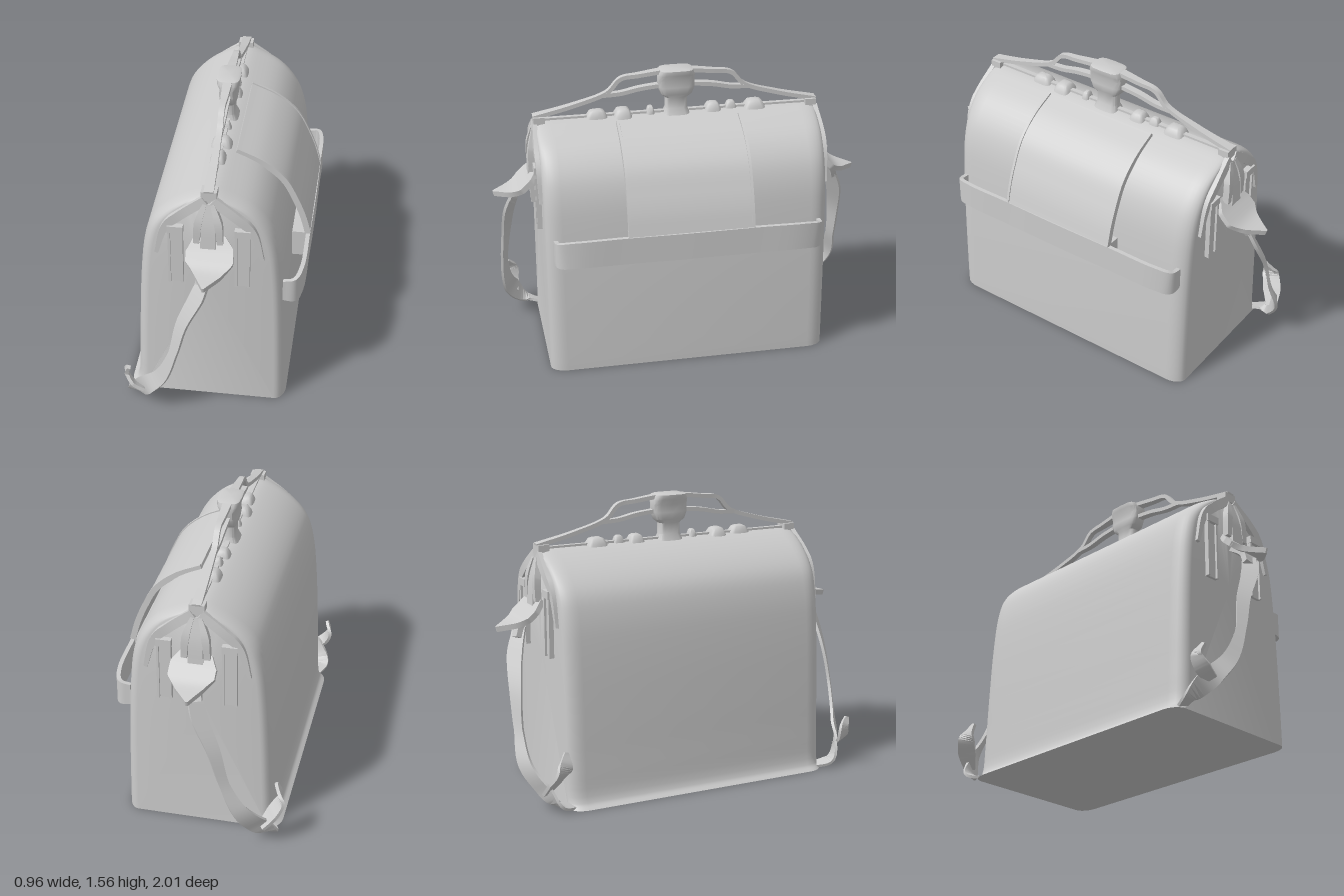
import * as THREE from 'three';
import { toCreasedNormals } from 'three/addons/utils/BufferGeometryUtils.js';

const material = new THREE.MeshStandardMaterial({ color: 0xcccccc, side: THREE.DoubleSide });
const V = (x, y, z) => new THREE.Vector3(x, y, z);

function add(parent, name, geometry, x = 0, y = 0, z = 0) {
  const mesh = new THREE.Mesh(geometry, material);
  mesh.name = name;
  mesh.position.set(x, y, z);
  parent.add(mesh);
  return mesh;
}

// Skin over closed rings of equal length, capped at both ends, faces outward
function loft(rings, crease = 0.7) {
  const n = rings[0].length, pos = rings.flat(), tris = [];
  rings.slice(1).forEach((_, i) => {
    for (let j = 0; j < n; j++) {
      const a = i * n + j, b = i * n + (j + 1) % n;
      tris.push([a, b, a + n], [b, b + n, a + n]);
    }
  });
  for (const [start, flip] of [[0, true], [(rings.length - 1) * n, false]]) {
    const c = pos.length, mid = V(0, 0, 0);
    for (let j = 0; j < n; j++) mid.addScaledVector(pos[start + j], 1 / n);
    pos.push(mid);
    for (let j = 0; j < n; j++) {
      const a = start + j, b = start + (j + 1) % n;
      tris.push(flip ? [b, a, c] : [a, b, c]);
    }
  }
  let volume = 0;
  for (const [a, b, c] of tris) volume += pos[a].dot(V(0, 0, 0).crossVectors(pos[b], pos[c]));
  if (volume < 0) tris.forEach(t => t.reverse());
  const geometry = new THREE.BufferGeometry().setFromPoints(pos);
  geometry.setIndex(tris.flat());
  return toCreasedNormals(geometry, crease);
}

// Flat strap along a path: across = width direction, widths spread along the path
function strap(points, across, widths, thick, steps = 28) {
  const curve = new THREE.CatmullRomCurve3(points.map(p => V(...p)));
  const rings = [];
  for (let i = 0; i <= steps; i++) {
    const t = i / steps, f = t * (widths.length - 1), k = Math.min(Math.floor(f), widths.length - 2);
    const half = THREE.MathUtils.lerp(widths[k], widths[k + 1], f - k) / 2;
    const p = curve.getPoint(t), tangent = curve.getTangent(t);
    const w = V(...across);
    w.addScaledVector(tangent, -w.dot(tangent)).normalize();
    const nrm = V(0, 0, 0).crossVectors(tangent, w);
    rings.push([[-1, -1], [1, -1], [1, 1], [-1, 1]].map(([u, v]) =>
      p.clone().addScaledVector(w, u * half).addScaledVector(nrm, v * thick / 2)));
  }
  return loft(rings);
}

export function createModel() {
  const bag = new THREE.Group();
  bag.name = 'bag';

  // Body: arched section with a flared hem, corners rounded toward the ends
  const section = [[-0.44, 0], [-0.41, 0.03], [-0.395, 0.2], [-0.385, 0.45], [-0.365, 0.8], [-0.34, 1],
    [-0.3, 1.12], [-0.22, 1.21], [-0.1, 1.285], [0, 1.315], [0.1, 1.285], [0.22, 1.22], [0.305, 1.12],
    [0.35, 1], [0.375, 0.8], [0.39, 0.5], [0.4, 0.05], [0.4, 0]];
  const arch = new THREE.CatmullRomCurve3(section.map(p => V(p[0], p[1], 0))).getPoints(68);
  const rings = [];
  for (const end of [-1, 1]) {
    for (let i = 0; i <= 6; i++) {
      const a = (end < 0 ? i : 6 - i) / 6 * Math.PI / 2;
      const z = end * (0.67 + 0.09 * Math.cos(a));
      const sx = 1 - 0.15 * (1 - Math.sin(a)), sy = 1 - 0.012 * (1 - Math.sin(a));
      rings.push(arch.map(p => V(p.x * sx, Math.max(0, p.y * sy), z)));
    }
  }
  add(bag, 'body', loft(rings, 0.6));

  // Flap hanging over the left side, its seams, and the loose band around it
  const drape = [[0.08, 1.3, 0], [0.22, 1.235, 0], [0.33, 1.14, 0], [0.395, 1.02, 0], [0.435, 0.92, 0], [0.465, 0.81, 0]];
  add(bag, 'sideFlap', strap(drape, [0, 0, 1], [0.64, 0.66], 0.02));
  for (const z of [-0.33, 0.33]) {
    add(bag, 'flapSeam', strap(drape, [0, 0, 1], [0.014, 0.014], 0.032), 0, 0, z);
  }
  const halfBand = [[0.37, 0.72, 0.71], [0.43, 0.72, 0.7], [0.458, 0.73, 0.62], [0.465, 0.735, 0.33]];
  const band = [...halfBand, [0.468, 0.735, 0],
    ...halfBand.map(([x, y, z]) => [x, y, -z]).reverse()];
  add(bag, 'sideBand', strap(band, [0, 1, 0], [0.12, 0.145, 0.15, 0.15, 0.15, 0.145, 0.12], 0.022, 48));
  add(bag, 'bandFilling', new THREE.BoxGeometry(0.08, 0.15, 0.66), 0.42, 0.735, 0);

  // Ridge seam and the central grip on its neck
  add(bag, 'ridgeSeam', new THREE.BoxGeometry(0.025, 0.03, 1.5), 0, 1.31, 0);
  const ovalRing = (y, rx, rz) => Array.from({ length: 16 }, (_, i) => {
    const c = Math.cos(i * Math.PI / 8), s = Math.sin(i * Math.PI / 8);
    const q = v => Math.sign(v) * Math.sqrt(Math.abs(v));
    return V(rx * q(c), y, rz * q(s));
  });
  const grip = [[1.29, 0.06, 0.08], [1.34, 0.035, 0.06], [1.4, 0.035, 0.06], [1.42, 0.045, 0.085],
    [1.46, 0.05, 0.1], [1.5, 0.045, 0.1], [1.53, 0.06, 0.1], [1.555, 0.062, 0.09], [1.56, 0.05, 0.075]];
  add(bag, 'grip', loft(grip.map(g => ovalRing(...g))));

  // Leather lumps along the ridge
  for (const [z, length, width] of [[-0.43, 0.13, 0.11], [-0.3, 0.07, 0.06], [-0.2, 0.1, 0.1],
    [0.14, 0.05, 0.07], [0.29, 0.11, 0.12], [0.43, 0.13, 0.09]]) {
    const lump = [[1.285, 1], [1.32, 0.85], [1.345, 0.6], [1.352, 0.35]];
    add(bag, 'ridgeLump', loft(lump.map(([y, s]) => ovalRing(y, width / 2 * s, length / 2 * s))), 0, 0, z);
  }

  for (const e of [1, -1]) {
    const end = new THREE.Group();
    end.name = e > 0 ? 'frontEnd' : 'backEnd';
    bag.add(end);
    const flipZ = pts => pts.map(([x, y, z]) => [x, y, z * e]);

    // Two carrying cords rising to the grip
    add(end, 'upperCord', strap(flipZ([[0, 1.335, 0.77], [0, 1.385, 0.55], [0, 1.445, 0.37], [0, 1.515, 0.3],
      [0, 1.53, 0.2], [0, 1.548, 0.06]]), [1, 0, 0], [0.05, 0.03, 0.03, 0.05], 0.022));
    add(end, 'lowerCord', strap(flipZ([[0, 1.43, 0.4], [0, 1.435, 0.3], [0, 1.455, 0.2], [0, 1.47, 0.06]]),
      [1, 0, 0], [0.03, 0.04], 0.022));
    add(end, 'cordAnchor', new THREE.BoxGeometry(0.08, 0.05, 0.06), 0, 1.315, 0.74 * e);

    // Raised gathers fanning from the peak
    for (const side of [-1, 1]) {
      add(end, 'gather', strap(flipZ([[side * 0.02, 1.29, 0.765], [side * 0.14, 1.2, 0.772],
        [side * 0.22, 1.12, 0.77], [side * 0.27, 0.95, 0.765]]), [1, 0, 0], [0.05, 0.05, 0.02], 0.025));
      add(end, 'pleat', strap(flipZ([[side * 0.02, 1.27, 0.765], [side * 0.05, 1.17, 0.79],
        [side * 0.06, 1.05, 0.79]]), [1, 0, 0], [0.02, 0.04, 0.03], 0.035));

      // Buckle strap framed by two raised edges
      const x = side * 0.17;
      add(end, 'buckleStrap', new THREE.BoxGeometry(0.07, 0.35, 0.02), x, 0.95, 0.765 * e);
      for (const dx of [-0.032, 0.032]) {
        add(end, 'strapEdge', new THREE.BoxGeometry(0.012, 0.35, 0.024), x + dx, 0.95, 0.775 * e);
      }
      add(end, 'strapTip', new THREE.BoxGeometry(0.08, 0.04, 0.035), x, 1.11, 0.775 * e);
    }

    // Pointed tongue standing out, with a tab behind it
    add(end, 'tongue', strap(flipZ([[0, 1.06, 0.76], [0.01, 0.995, 0.82], [0.01, 0.94, 0.89], [0, 0.91, 1]]),
      [1, 0, 0], [0.16, 0.24, 0.24, 0.14, 0.01], 0.03));
    add(end, 'centreTab', strap(flipZ([[0, 1.27, 0.765], [0, 1.15, 0.79], [0, 1.02, 0.8]]),
      [1, 0, 0], [0.05, 0.07, 0.08], 0.025));
    add(end, 'strapRoot', strap(flipZ([[0, 0.98, 0.8], [0, 0.93, 0.87], [-0.02, 0.86, 0.9]]),
      [1, 0, 0], [0.1, 0.1, 0.07], 0.03));
  }

  // Long loose straps from the tongues to the bottom right corners
  add(bag, 'frontStrap', strap([[0, 0.91, 0.88], [-0.04, 0.8, 0.915], [-0.12, 0.62, 0.935], [-0.17, 0.42, 0.95],
    [-0.24, 0.25, 0.935], [-0.34, 0.13, 0.89], [-0.4, 0.04, 0.82], [-0.38, 0.015, 0.74]],
    [0.8, 0.3, 0.5], [0.07, 0.09, 0.07, 0.05, 0.08, 0.11, 0.08, 0.05], 0.016, 40));
  add(bag, 'backStrap', strap([[0, 0.91, -0.87], [-0.04, 0.78, -0.915], [-0.12, 0.6, -0.945], [-0.18, 0.4, -0.955],
    [-0.26, 0.24, -0.955], [-0.34, 0.12, -0.89], [-0.4, 0.04, -0.82], [-0.38, 0.015, -0.74]],
    [0.8, 0.3, -0.5], [0.07, 0.09, 0.07, 0.05, 0.08, 0.11, 0.08, 0.05], 0.016, 40));

  // Curled strap ends
  add(bag, 'backStrapEnd', strap([[-0.36, 0.1, -0.88], [-0.41, 0.17, -0.85], [-0.45, 0.25, -0.81],
    [-0.42, 0.33, -0.79]], [0.2, 0.3, 0.8], [0.06, 0.1, 0.09, 0.02], 0.018));
  add(bag, 'frontStrapEnd', strap([[-0.34, 0.12, 0.9], [-0.4, 0.16, 0.9], [-0.43, 0.22, 0.89],
    [-0.41, 0.28, 0.92]], [0.2, 0.3, 0.8], [0.06, 0.08, 0.06, 0.02], 0.018));

  return bag;
}
